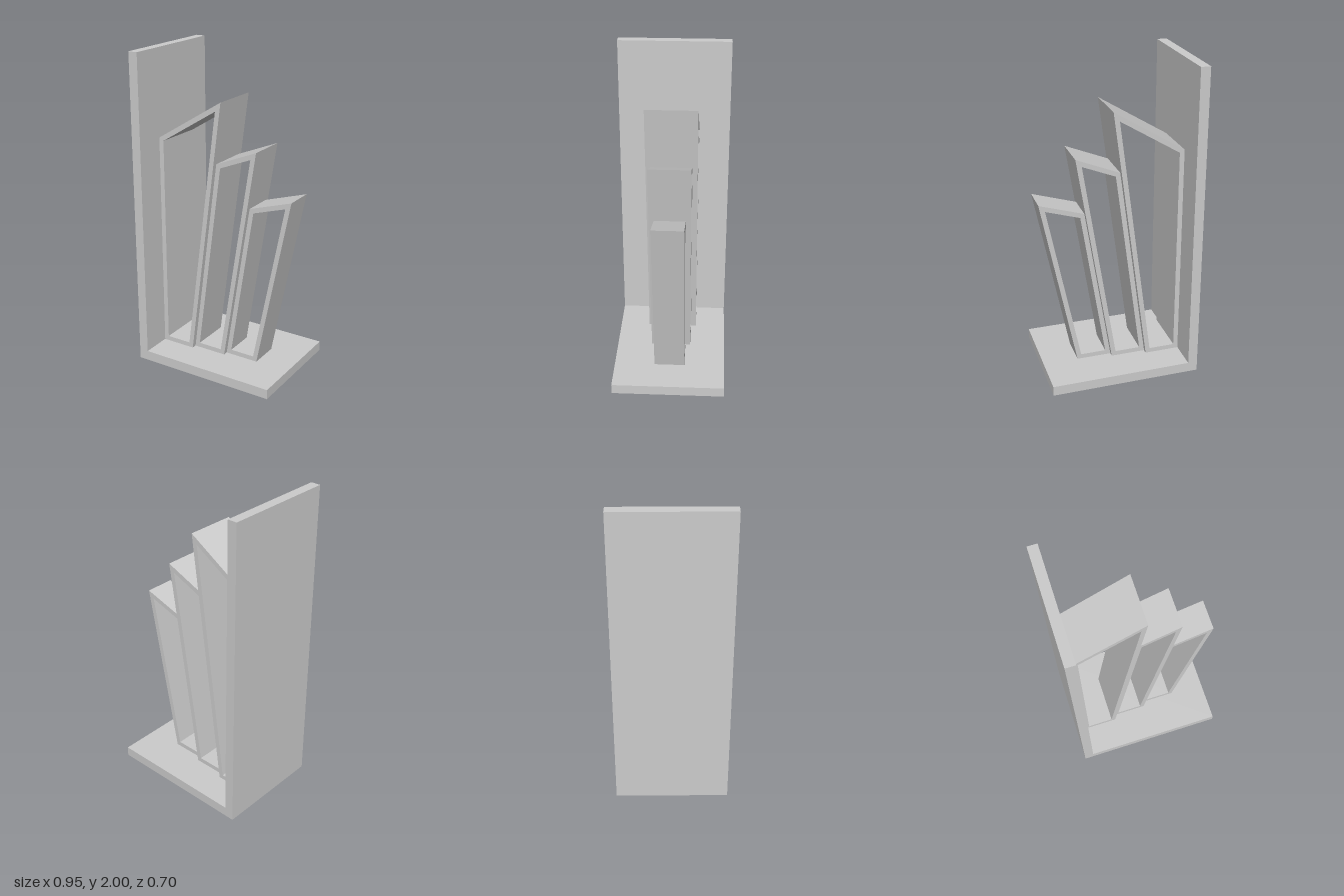
import * as THREE from 'three';

const material = new THREE.MeshStandardMaterial({ color: 0xcccccc, flatShading: true });

// Move every edge of a counter-clockwise polygon inwards by d
function inset(points, d) {
  const n = points.length;
  return points.map((p, i) => {
    const a = p.clone().sub(points[(i + n - 1) % n]).normalize();
    const b = points[(i + 1) % n].clone().sub(p).normalize();
    const na = new THREE.Vector2(-a.y, a.x);
    const nb = new THREE.Vector2(-b.y, b.x);
    return na.clone().add(nb).multiplyScalar(d / (1 + na.dot(nb))).add(p);
  });
}

// Extrude an outline along z, centred on z = 0
function slab(name, outline, depth, wall = 0) {
  const points = outline.map(([x, y]) => new THREE.Vector2(x, y));
  const shape = new THREE.Shape(points);
  if (wall) shape.holes.push(new THREE.Path(inset(points, wall)));
  const geometry = new THREE.ExtrudeGeometry(shape, { depth, bevelEnabled: false });
  geometry.translate(0, 0, -depth / 2);
  const mesh = new THREE.Mesh(geometry, material);
  mesh.name = name;
  return mesh;
}

export function createModel() {
  const group = new THREE.Group();
  group.name = 'slantedFrameStand';
  const floor = 0.063;

  // L-shaped base plate and upright back board
  group.add(slab('baseAndUpright', [
    [-0.475, 0], [0.475, 0], [0.475, floor], [-0.415, floor], [-0.415, 2], [-0.475, 2],
  ], 0.704));

  // Three leaning hollow frames, each resting against the one before
  const frames = [
    ['tallFrame', [[-0.415, floor], [-0.193, floor], [0.029, 1.723], [-0.415, 1.45]], 0.318],
    ['middleFrame', [[-0.193, floor], [0.029, floor], [0.251, 1.447], [-0.023, 1.335]], 0.254],
    ['shortFrame', [[0.029, floor], [0.251, floor], [0.473, 1.172], [0.192, 1.083]], 0.192],
  ];
  for (const [name, outline, depth] of frames) group.add(slab(name, outline, depth, 0.03));

  return group;
}
